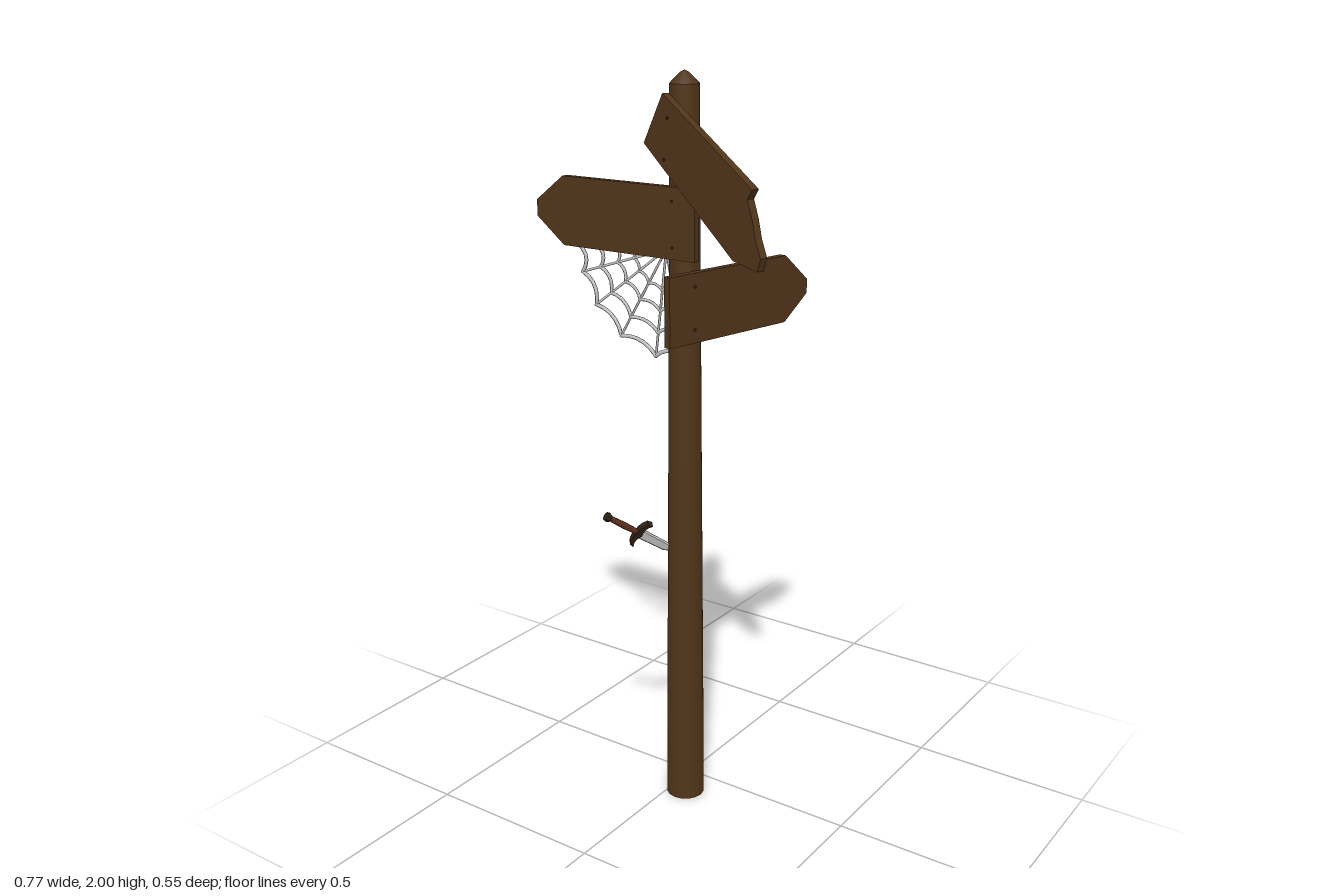
import * as THREE from 'three';

const WOOD = 0x51351a, DARK = 0x2e2014, LEATHER = 0x5a2c1c, GREY = 0xcccccc;
const mat = (color, flatShading = false) => new THREE.MeshStandardMaterial({ color, flatShading });
const woodMat = mat(WOOD, true);

function add(parent, name, geometry, material) {
  const mesh = new THREE.Mesh(geometry, material);
  mesh.name = name;
  parent.add(mesh);
  return mesh;
}

// Plank cut from an outline, centred on its thickness, turned about a vertical axis
function plank(name, outline, nails, x, z, yaw) {
  const board = new THREE.Group();
  board.name = name;
  const shape = new THREE.Shape(outline.map(p => new THREE.Vector2(...p)));
  const geo = new THREE.ExtrudeGeometry(shape, { depth: 0.02, bevelEnabled: false });
  geo.translate(0, 0, -0.01);
  add(board, name + 'Board', geo, woodMat);
  for (const [nx, ny, side] of nails) {
    const nail = add(board, 'nail', new THREE.CylinderGeometry(0.004, 0.004, 0.004, 6), mat(DARK, true));
    nail.rotation.x = Math.PI / 2;
    nail.position.set(nx, ny, side * 0.0105);
  }
  board.position.set(x, 0, z);
  board.rotation.y = yaw;
  return board;
}

// Quarter web of straight spokes and sagging rings, lying in the xy plane
function cobweb() {
  const web = new THREE.Group();
  web.name = 'cobweb';
  const material = mat(GREY);
  const angles = [183, 198, 217, 239, 263, 281].map(a => a * Math.PI / 180);
  const at = (a, r) => new THREE.Vector3(Math.cos(a) * r, Math.sin(a) * r, 0);
  for (const a of angles) {
    const spoke = new THREE.LineCurve3(at(a, 0), at(a, 0.29));
    add(web, 'spoke', new THREE.TubeGeometry(spoke, 1, 0.0035, 5), material);
  }
  for (const [r, width] of [[0.285, 0.0055], [0.222, 0.005], [0.163, 0.0045], [0.108, 0.004]]) {
    for (let i = 0; i < angles.length - 1; i++) {
      const a = angles[i], b = angles[i + 1];
      const sag = new THREE.QuadraticBezierCurve3(at(a, r), at((a + b) / 2, r * 0.86), at(b, r));
      add(web, 'ringStrand', new THREE.TubeGeometry(sag, 5, width, 5), material);
    }
  }
  web.position.set(0, 1.56, 0.11);
  return web;
}

// Dagger along local y: guard at the origin, pommel up, blade down
function dagger() {
  const g = new THREE.Group();
  g.name = 'dagger';
  const blade = new THREE.Shape();
  blade.moveTo(-0.016, 0);
  blade.lineTo(0.016, 0);
  blade.lineTo(0.014, -0.09);
  blade.lineTo(0, -0.125);
  blade.lineTo(-0.014, -0.09);
  const bladeGeo = new THREE.ExtrudeGeometry(blade, {
    depth: 0.002, bevelThickness: 0.003, bevelSize: 0.004, bevelOffset: -0.004, bevelSegments: 1,
  });
  add(g, 'blade', bladeGeo.translate(0, 0, -0.001), mat(GREY, true));

  // Guard with tips swept towards the blade
  const guard = new THREE.Shape();
  guard.moveTo(-0.043, -0.012);
  guard.quadraticCurveTo(-0.024, 0.004, 0, -0.008);
  guard.quadraticCurveTo(0.024, 0.004, 0.043, -0.012);
  guard.lineTo(0.04, 0.002);
  guard.quadraticCurveTo(0.02, 0.014, 0, 0.01);
  guard.quadraticCurveTo(-0.02, 0.014, -0.04, 0.002);
  const guardGeo = new THREE.ExtrudeGeometry(guard, { depth: 0.02, bevelEnabled: false, curveSegments: 5 });
  add(g, 'guard', guardGeo.translate(0, 0, -0.01), mat(DARK, true));

  const grip = [[0.008, 0], [0.0085, 0.03], [0.0095, 0.05], [0.0085, 0.075], [0.0075, 0.098]];
  add(g, 'grip', new THREE.LatheGeometry(grip.map(p => new THREE.Vector2(...p)), 8), mat(LEATHER));
  const pommel = [[0, 0.095], [0.01, 0.096], [0.0135, 0.103], [0.012, 0.111], [0, 0.115]];
  add(g, 'pommel', new THREE.LatheGeometry(pommel.map(p => new THREE.Vector2(...p)), 8), mat(DARK, true));

  // Axes from the hilt direction and the guard direction
  const up = new THREE.Vector3(-0.055, 0.064, 0.08).normalize();
  const across = new THREE.Vector3(0.05, 0.064, -0.015);
  across.addScaledVector(up, -across.dot(up)).normalize();
  const out = new THREE.Vector3().crossVectors(across, up);
  g.quaternion.setFromRotationMatrix(new THREE.Matrix4().makeBasis(across, up, out));
  g.position.set(-0.038, 0.806, 0.188);
  return g;
}

export function createModel() {
  const model = new THREE.Group();
  model.name = 'signpost';

  // Tapered post: separate body, cap and base keep the rims sharp
  const post = new THREE.Group();
  post.name = 'post';
  const lathe = pts => new THREE.LatheGeometry(pts.map(p => new THREE.Vector2(...p)), 16);
  const smoothWood = mat(WOOD);
  add(post, 'postBody', lathe([[0.053, 0], [0.051, 0.3], [0.045, 1], [0.041, 1.5], [0.038, 1.968]]), smoothWood);
  add(post, 'postCap', lathe([[0.038, 1.968], [0.012, 1.994], [0, 2]]), smoothWood);
  add(post, 'postBase', lathe([[0, 0], [0.053, 0]]), smoothWood);
  post.position.set(0.042, 0, 0.089);
  model.add(post);

  // Level arrow sign pointing to -x
  model.add(plank('levelArrowSign', [
    [0.113, 1.545], [0.113, 1.725], [-0.3, 1.725], [-0.388, 1.657], [-0.388, 1.614], [-0.3, 1.545],
  ], [[0.045, 1.69, 1], [0.045, 1.575, 1]], 0, 0.14, 0));

  // Crooked top sign with a broken end
  const yaw = 0.318, c = Math.cos(yaw);
  const broken = [
    [0.02, 1.947], [-0.055, 1.822], [0.283, 1.583], [0.368, 1.571], [0.379, 1.603],
    [0.36, 1.645], [0.348, 1.69], [0.331, 1.733], [0.347, 1.757],
  ];
  model.add(plank('brokenSign', broken.map(([x, y]) => [(x + 0.055) / c, y]),
    [[0.1, 1.89, 1], [0.085, 1.79, 1]], -0.053, 0.116, -yaw));

  // Arrow sign pointing backwards on the +x side
  model.add(plank('backArrowSign', [
    [0, 1.335], [0.415, 1.335], [0.5, 1.402], [0.5, 1.44], [0.415, 1.515], [0, 1.515],
  ], [[0.085, 1.48, -1], [0.085, 1.37, -1], [0.085, 1.48, 1], [0.085, 1.37, 1]], 0.074, 0.212, 1.359));

  model.add(cobweb(), dagger());
  return model;
}
